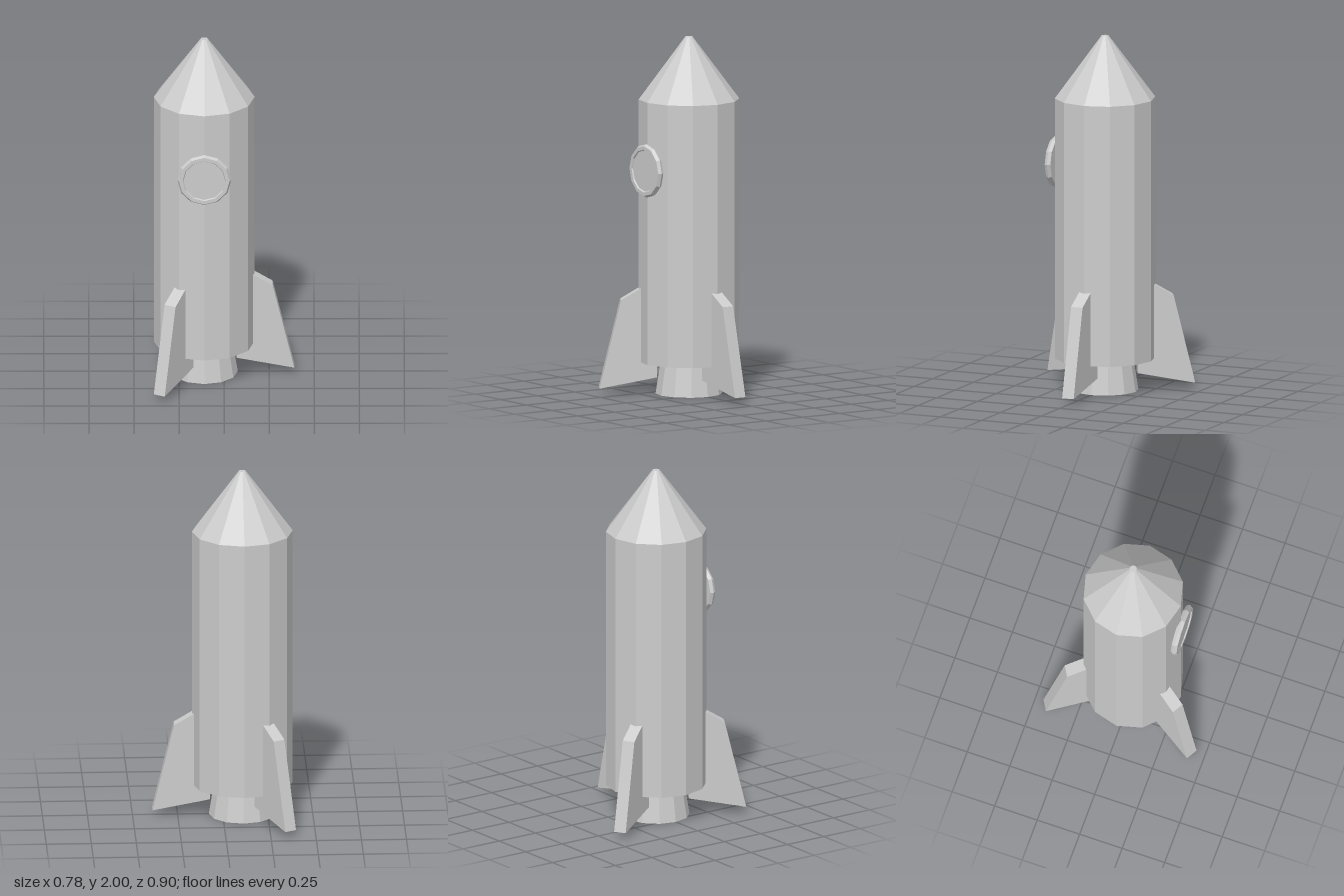
import * as THREE from 'three';

export function createModel() {
  const model = new THREE.Group();
  model.name = 'rocket';
  const grey = new THREE.MeshStandardMaterial({ color: 0xcccccc, flatShading: true });
  grey.name = 'light grey';

  // The hull axis sits left of centre because one fin points along +x
  const rocket = new THREE.Group();
  rocket.name = 'rocketBody';
  rocket.position.x = -0.11;
  model.add(rocket);

  const add = (name, geometry, x = 0, y = 0, z = 0) => {
    const mesh = new THREE.Mesh(geometry, grey);
    mesh.name = name;
    mesh.position.set(x, y, z);
    rocket.add(mesh);
    return mesh;
  };

  // Twelve-sided hull, nose cone and nozzle, each from its bottom to its top
  const drum = (name, rTop, rBottom, y0, y1) =>
    add(name, new THREE.CylinderGeometry(rTop, rBottom, y1 - y0, 12), 0, (y0 + y1) / 2);
  drum('hull', 0.28, 0.28, 0.18, 1.65);
  drum('noseCone', 0.02, 0.28, 1.65, 2);
  drum('nozzle', 0.157, 0.186, 0, 0.18);

  // Porthole: hexagonal-section ring with a pane inside
  add('portholeRing', new THREE.TorusGeometry(0.13, 0.02, 6, 12), 0, 1.27, 0.287);
  const pane = new THREE.CylinderGeometry(0.125, 0.125, 0.02, 12);
  pane.rotateX(Math.PI / 2);
  add('portholePane', pane, 0, 1.27, 0.287);

  // Three swept fins; profile is radius against height
  const profile = new THREE.Shape([
    [0.18, 0.095], [0.5, 0.035], [0.38, 0.53], [0.27, 0.595], [0.18, 0.595],
  ].map(([r, y]) => new THREE.Vector2(r, y)));
  const finGeometry = new THREE.ExtrudeGeometry(profile, { depth: 0.07, bevelEnabled: false });
  finGeometry.translate(0, 0, -0.035);
  for (let i = 0; i < 3; i++) {
    add('fin' + (i + 1), finGeometry).rotation.y = (i * Math.PI * 2) / 3;
  }

  return model;
}
